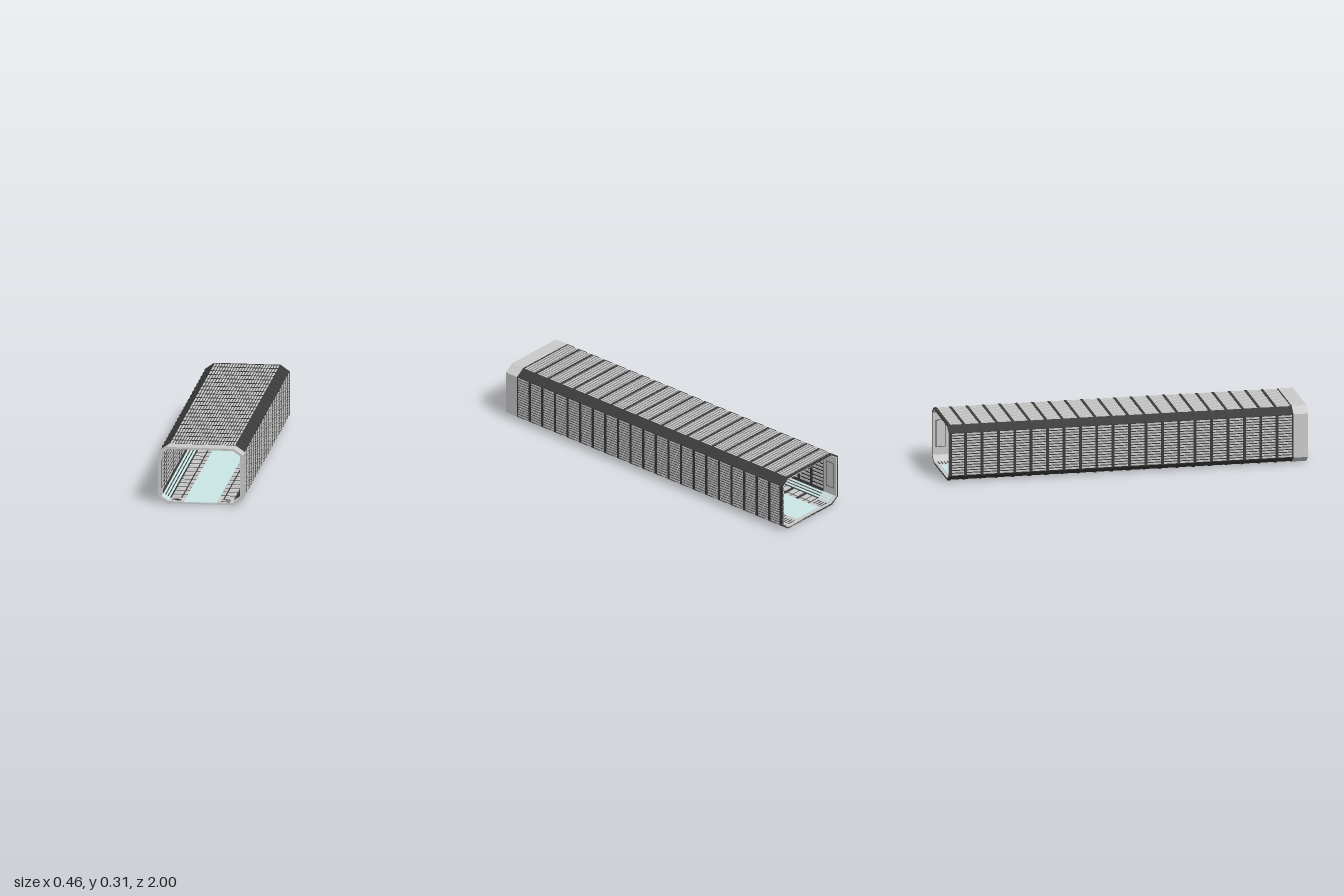
import * as THREE from 'three';
import { mergeGeometries } from 'three/addons/utils/BufferGeometryUtils.js';

const SEG = 2 / 22; // length of one corridor segment
const CY = 0.16; // height of the tunnel axis

const mat = (color) => new THREE.MeshStandardMaterial({ color });
const grey = mat(0xcccccc);
const dark = mat(0x3c3c3c);
const blue = mat(0xcbe6e6);

// Octagon with half sizes w, h and chamfer starting at half sizes cw, ch
function octagon(w, h, cw, ch, Type = THREE.Shape) {
  const pts = [[cw, -h], [w, -ch], [w, ch], [cw, h], [-cw, h], [-w, ch], [-w, -ch], [-cw, -h]];
  return new Type(pts.map(([x, y]) => new THREE.Vector2(x, y + CY)));
}

// Octagonal ring running from z0 to z1
function ring(outer, inner, z0, z1) {
  const shape = octagon(...outer);
  shape.holes.push(octagon(...inner, THREE.Path));
  return new THREE.ExtrudeGeometry(shape, { depth: z1 - z0, bevelEnabled: false }).translate(0, 0, z0);
}

function box(w, h, d, x, y, z, roll = 0) {
  return new THREE.BoxGeometry(w, h, d).rotateZ(roll).translate(x, y, z);
}

export function createModel() {
  const model = new THREE.Group();
  const add = (name, material, list) => {
    const mesh = new THREE.Mesh(list.length > 1 ? mergeGeometries(list) : list[0], material);
    mesh.name = name;
    model.add(mesh);
  };
  const OUTER = [0.232, 0.157, 0.182, 0.122];
  const INNER = [0.215, 0.145, 0.175, 0.119];
  const zFront = 1 - SEG;
  const length = zFront + 1;
  const zMid = (zFront - 1) / 2;

  // Plain portal at the front, and a lining just inside the back opening
  add('frontFrame', grey, [ring(OUTER, INNER, zFront, 0.99)]);
  add('backLining', grey, [ring([0.225, 0.151, 0.179, 0.12], INNER, -1, -1 + SEG)]);

  // Dark shell with a raised rib at each segment joint
  add('shell', dark, [ring([0.229, 0.154, 0.181, 0.121], [0.221, 0.149, 0.178, 0.12], -1, zFront)]);
  const ribs = [];
  for (let i = 0; i < 22; i++) {
    const z = Math.max(-1, -1 + i * SEG - 0.008);
    ribs.push(ring(OUTER, [0.219, 0.148, 0.177, 0.12], z, Math.min(zFront, z + 0.016)));
  }
  add('ribs', dark, ribs);

  // Lengthwise slats on the roof, underside and both walls
  const slats = [];
  for (let i = 0; i < 24; i++) {
    const x = (i - 11.5) * 0.015;
    for (const s of [-1, 1]) slats.push(box(0.0095, 0.003, length, x, CY + s * 0.155, zMid));
  }
  for (let i = 0; i < 16; i++) {
    const y = CY + (i - 7.5) * 0.015;
    for (const s of [-1, 1]) slats.push(box(0.003, 0.009, length, s * 0.23, y, zMid));
  }
  add('outerSlats', grey, slats);

  // Interior floor and ceiling tiles, wall slats
  const tiles = [], innerSlats = [];
  for (let i = 1; i < 21; i++) {
    const z = -1 + (i + 0.5) * SEG;
    for (let k = 0; k < 6; k++) {
      const x = (k - 2.5) * 0.058;
      for (const s of [-1, 1]) {
        for (const dz of [-0.019, 0.019]) tiles.push(box(0.05, 0.003, 0.03, x, CY + s * 0.1475, z + dz));
      }
    }
    for (let k = 0; k < 10; k++) {
      for (const s of [-1, 1]) {
        innerSlats.push(box(0.003, 0.012, 0.07, s * 0.2195, CY + (k - 4.5) * 0.022, z));
      }
    }
  }
  add('floorAndCeilingTiles', grey, tiles);
  add('innerWallSlats', grey, innerSlats);

  // Inset wall panels with dark borders, and floor slots, at both ends
  const borders = [], slots = [];
  for (const z of [0.947, -1 + SEG / 2]) {
    for (const s of [-1, 1]) {
      const x = s * 0.2148;
      for (const e of [-1, 1]) {
        borders.push(box(0.001, 0.003, 0.055, x, CY + e * 0.075, z));
        borders.push(box(0.001, 0.15, 0.003, x, CY, z + e * 0.026));
      }
      for (let k = 0; k < 4; k++) {
        slots.push(box(0.05, 0.001, 0.006, s * 0.135, CY - 0.1448, z + (k - 1.5) * 0.017));
      }
    }
  }
  add('wallPanelBorders', dark, borders);
  add('floorSlots', dark, slots);

  // Pale walkway down the middle of the floor
  add('walkway', blue, [box(0.18, 0.004, 1.98, 0, CY - 0.1455, 0.01)]);

  // Pale strips along one lower chamfer
  const strips = [];
  for (let k = 0; k < 3; k++) {
    const t = (k + 0.5) / 3;
    const x = -0.215 + 0.04 * t, y = CY - 0.119 - 0.026 * t;
    strips.push(box(0.01, 0.004, 1.96, x - 0.001, y - 0.001, 0, -Math.atan2(0.026, 0.04)));
  }
  add('chamferStrips', blue, strips);

  return model;
}
